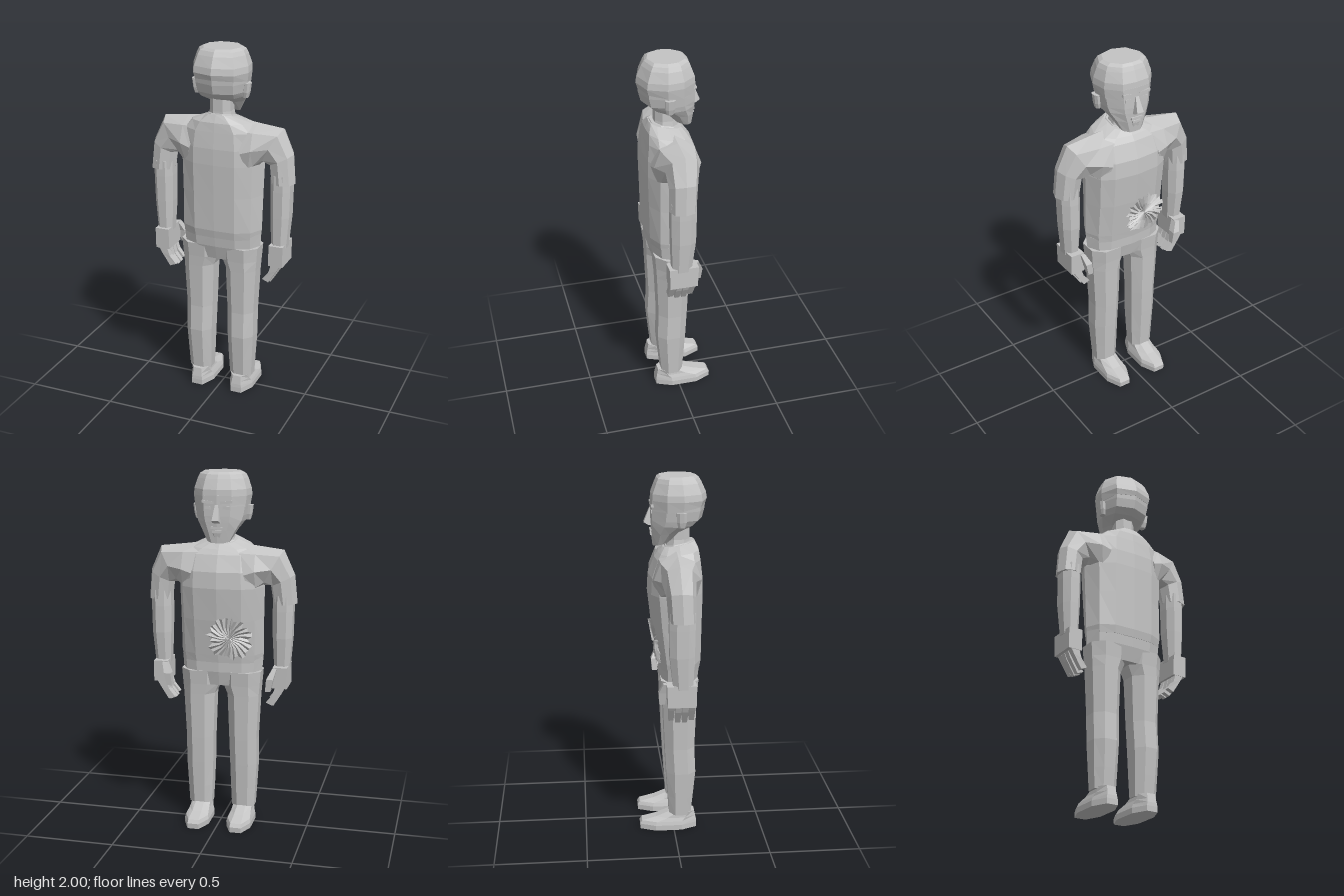
import * as THREE from 'three';

const grey = new THREE.MeshStandardMaterial({ color: 0xc4c4c4, flatShading: true });
grey.name = 'plain grey';

// Cross-section outlines: u runs across the section, v from face side to back side
const OCT = [[.27, 0], [.73, 0], [1, .27], [1, .73], [.73, 1], [.27, 1], [0, .73], [0, .27]];
const TORSO = [[.5, 0], [.78, .05], [.92, .18], [1, .5], [.92, .82], [.75, .98], [.5, 1],
  [.25, .98], [.08, .82], [0, .5], [.08, .18], [.22, .05]];
const SHOULDER = [[0, .5], [.14, .14], [.5, 0], [.86, .14], [1, .5], [.86, .86], [.5, 1], [.14, .86]];
const HEAD = [[.25, 0], [.5, -.03], [.75, 0], [.96, .25], [1, .55], [.86, .88], [.5, 1], [.14, .88], [0, .55], [.04, .25]];
const BOX = [[0, 0], [1, 0], [1, 1], [0, 1]];

// A section runs from point (ax, ay) to (bx, by), between depths z0 and z1, with optional tilt
function section(outline, [ax, ay, bx, by, z0, z1, tilt = 0], side) {
  return outline.map(([u, v]) => {
    const z = z0 + (z1 - z0) * v;
    return new THREE.Vector3(side * (ax + (bx - ax) * u), ay + (by - ay) * u + tilt * z, z);
  });
}

// Capped skin over a list of sections, always turned to face outward
function loft(name, outline, rows, side = 1) {
  const rings = rows.map(r => section(outline, r, side));
  const n = outline.length, tris = [];
  for (let i = 0; i + 1 < rings.length; i++) {
    for (let j = 0; j < n; j++) {
      const k = (j + 1) % n, p = rings[i], q = rings[i + 1];
      tris.push([p[j], p[k], q[k]], [p[j], q[k], q[j]]);
    }
  }
  const cap = (ring, flip) => {
    const mid = ring.reduce((s, p) => s.add(p), new THREE.Vector3()).divideScalar(n);
    for (let j = 0; j < n; j++) {
      const k = (j + 1) % n;
      tris.push(flip ? [mid, ring[k], ring[j]] : [mid, ring[j], ring[k]]);
    }
  };
  cap(rings[0], true);
  cap(rings[rings.length - 1], false);
  const o = rings[0][0];
  const volume = tris.reduce((s, [a, b, c]) =>
    s + a.clone().sub(o).dot(b.clone().sub(o).cross(c.clone().sub(o))), 0);
  return skin(name, volume < 0 ? tris.map(([a, b, c]) => [a, c, b]) : tris);
}

function skin(name, tris) {
  const g = new THREE.BufferGeometry().setFromPoints(tris.flat());
  g.computeVertexNormals();
  const mesh = new THREE.Mesh(g, grey);
  mesh.name = name;
  return mesh;
}

// Level section: x from a to b at height y
const level = (y, a, b, z0, z1, tilt) => [a, y, b, y, z0, z1, tilt];
const wide = (y, w, z0, z1, tilt) => level(y, -w, w, z0, z1, tilt);

function box(name, w, h, d, x, y, z, rz = 0, rx = 0) {
  const mesh = new THREE.Mesh(new THREE.BoxGeometry(w, h, d), grey);
  mesh.name = name;
  mesh.position.set(x, y, z);
  mesh.rotation.set(rx, 0, rz);
  return mesh;
}

function makeHead() {
  const head = new THREE.Group();
  head.name = 'head';
  head.add(
    loft('skull', HEAD, [
      wide(1.65, .065, -.10, -.01, .25), wide(1.70, .10, -.105, .05, .1),
      wide(1.74, .13, -.107, .13), wide(1.77, .14, -.108, .165),
      wide(1.82, .148, -.108, .178), wide(1.88, .152, -.108, .185)]),
    loft('hair', HEAD, [
      wide(1.82, .15, -.105, .182, .15), wide(1.875, .158, -.107, .191), wide(1.91, .155, -.105, .185),
      wide(1.965, .137, -.085, .16), wide(1.988, .125, -.075, .145), wide(2, .102, -.06, .13)]),
    loft('neck', OCT, [wide(1.58, .075, -.035, .10), wide(1.66, .06, -.022, .095), wide(1.76, .06, -.02, .095)]),
    loft('nose', BOX, [wide(1.735, .022, -.125, -.09), wide(1.75, .02, -.15, -.09), wide(1.83, .009, -.118, -.09)]),
    box('upperLip', .065, .012, .02, 0, 1.708, -.108),
    box('lowerLip', .05, .012, .018, 0, 1.688, -.107),
    loft('chin', OCT, [wide(1.655, .03, -.105, -.06), wide(1.678, .04, -.11, -.06)]));
  for (const s of [-1, 1]) {
    head.add(
      loft('ear', OCT, [level(1.74, .125, .152, .025, .06), level(1.77, .125, .16, .018, .068),
        level(1.82, .13, .166, .015, .07)], s),
      box('brow', .065, .014, .022, s * .05, 1.845, -.104, s * .1),
      box('eye', .042, .016, .01, s * .047, 1.815, -.108));
  }
  return head;
}

function makeArm(s) {
  const arm = new THREE.Group();
  arm.name = s > 0 ? 'leftArm' : 'rightArm';
  arm.add(
    loft('sleeve', SHOULDER, [
      [.10, 1.615, .19, 1.30, -.115, .15], [.20, 1.602, .205, 1.35, -.11, .145],
      [.345, 1.585, .23, 1.385, -.075, .105], [.405, 1.45, .272, 1.385, -.055, .10],
      [.42, 1.29, .285, 1.29, -.045, .103]], s),
    loft('forearm', OCT, [level(1.34, .29, .40, -.04, .095), level(1.25, .288, .40, -.042, .095),
      level(1.1, .29, .397, -.04, .092), level(.92, .298, .383, -.02, .085)], s),
    loft('hand', BOX, [level(.94, .30, .38, -.055, .105), level(.82, .298, .38, -.05, .102)], s),
    loft('thumb', BOX, [level(.935, .30, .325, -.07, -.03), level(.88, .272, .31, -.095, -.05),
      level(.81, .266, .295, -.09, -.06)], s));
  // Four fingers curling inward
  for (let i = 0; i < 4; i++) {
    const z = -.045 + i * .037, drop = (i === 0 || i === 3) ? .012 : 0;
    arm.add(loft('finger', BOX, [level(.83, .315, .367, z, z + .034),
      [.298, .765 + drop, .345, .78 + drop, z + .001, z + .033],
      [.262, .72 + drop, .298, .705 + drop, z + .003, z + .03]], s));
  }
  return arm;
}

function makeLeg(s) {
  const leg = new THREE.Group();
  leg.name = s > 0 ? 'leftLeg' : 'rightLeg';
  leg.add(
    loft('trouserLeg', OCT, [level(.9, .01, .226, -.07, .135), level(.82, .012, .22, -.063, .128),
      level(.76, .037, .215, -.06, .125), level(.5, .046, .203, -.05, .115), level(.35, .05, .204, -.042, .122),
      level(.2, .055, .196, -.032, .108), level(.09, .06, .19, -.025, .097)], s),
    loft('shoe', OCT, [level(0, .052, .192, -.19, .13), level(.03, .052, .192, -.192, .13),
      level(.05, .058, .187, -.18, .128), level(.07, .065, .18, -.10, .124),
      level(.10, .07, .176, -.025, .118)], s));
  return leg;
}

// Crumpled fan of folds on the belly
function makeBellyFan() {
  let seed = 7;
  const rand = () => (seed = (seed * 16807) % 2147483647) / 2147483647;
  const cx = -.065, cy = 1.1, n = 44;
  const at = (x, y, lift) => new THREE.Vector3(x, y, -.10 - .15 * (y - 1.1) + .11 * Math.abs(x) - lift);
  const rim = [], fold = [];
  for (let i = 0; i < n; i++) {
    const a = i / n * Math.PI * 2, r = .095 + .04 * rand();
    const lift = i % 2 ? .016 : .002;
    rim.push(at(cx + r * Math.cos(a), cy + r * Math.sin(a), lift));
    fold.push(at(cx + r * .5 * Math.cos(a), cy + r * .5 * Math.sin(a), i % 2 ? .003 : .014));
  }
  const centre = at(cx, cy, .006), tris = [];
  for (let i = 0; i < n; i++) {
    const k = (i + 1) % n;
    tris.push([centre, fold[k], fold[i]], [fold[i], fold[k], rim[k]], [fold[i], rim[k], rim[i]]);
  }
  return skin('bellyFan', tris);
}

export function createModel() {
  const model = new THREE.Group();
  model.name = 'standingFigure';
  model.add(
    loft('shirt', TORSO, [
      wide(.955, .228, -.078, .148), wide(1.0, .235, -.085, .156), wide(1.2, .236, -.115, .16),
      wide(1.38, .24, -.135, .165), wide(1.47, .235, -.13, .163), wide(1.56, .22, -.095, .152),
      wide(1.595, .17, -.075, .145, .1), wide(1.625, .085, -.05, .125, .2)]),
    loft('collar', OCT, [wide(1.6, .09, -.05, .125, .25), wide(1.63, .07, -.035, .115, .2)]),
    loft('hips', TORSO, [wide(.975, .232, -.077, .148), wide(.9, .226, -.074, .14), wide(.82, .15, -.056, .118)]),
    makeBellyFan(), makeHead());
  for (const s of [-1, 1]) model.add(makeArm(s), makeLeg(s));
  return model;
}
